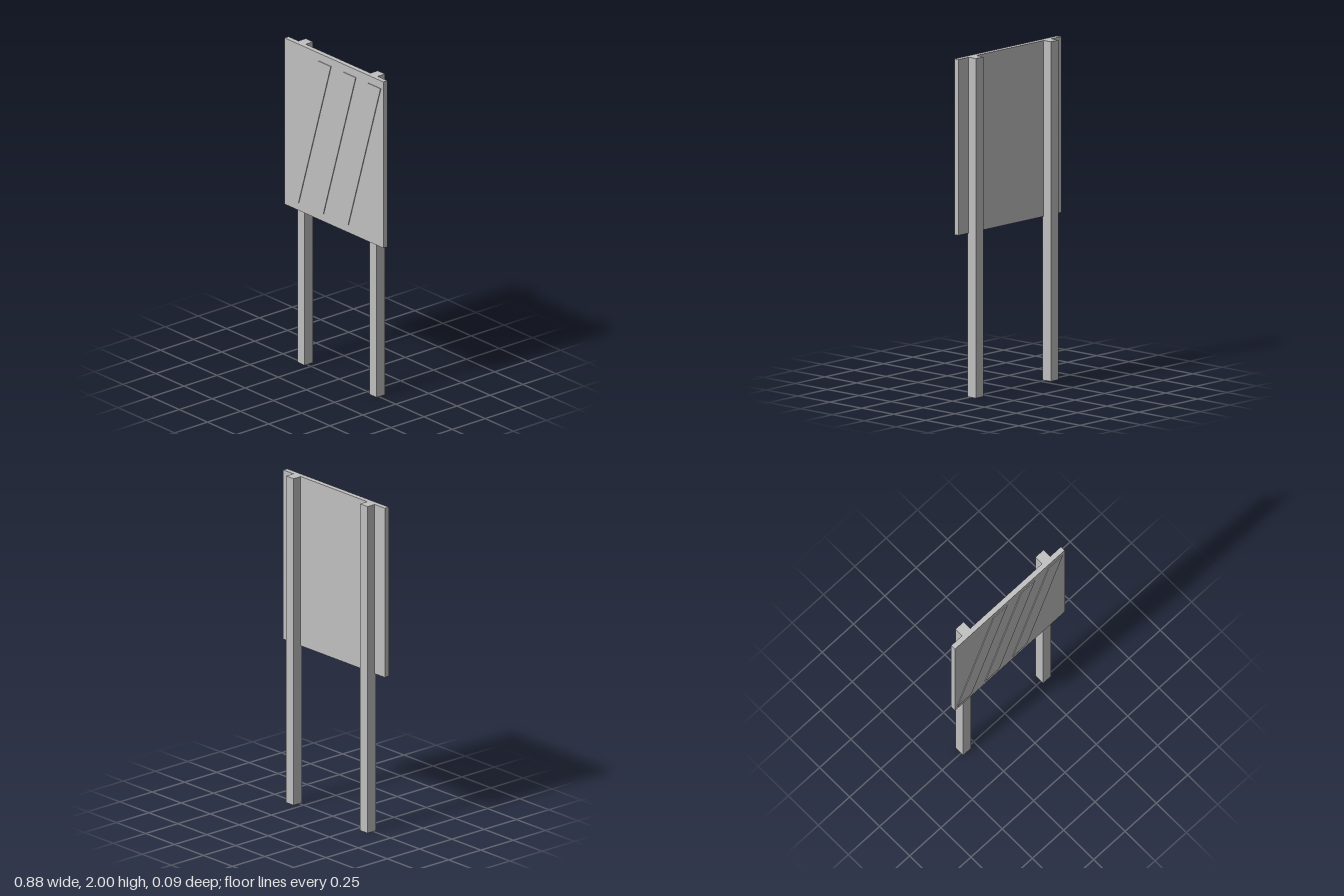
import * as THREE from 'three';

export function createModel() {
  const model = new THREE.Group();
  model.name = 'roadsideMarkerSign';
  const grey = new THREE.MeshStandardMaterial({ color: 0xc0c0c0 });
  grey.name = 'light grey';

  const add = (name, geometry, x, y, z) => {
    const mesh = new THREE.Mesh(geometry, grey);
    mesh.name = name;
    mesh.position.set(x, y, z);
    model.add(mesh);
  };

  // Square posts, let slightly into the back of the panel
  for (const [name, side] of [['leftPost', 1], ['rightPost', -1]]) {
    add(name, new THREE.BoxGeometry(0.064, 2, 0.064), side * 0.319, 1, -0.0135);
  }

  // Sign panel
  add('panel', new THREE.BoxGeometry(0.876, 1.036, 0.031), 0, 1.482, 0.0255);

  // Raised slanted stripes on the front
  const stripe = new THREE.Shape([
    new THREE.Vector2(0, 0),
    new THREE.Vector2(0.11, 0),
    new THREE.Vector2(0.397, 0.94),
    new THREE.Vector2(0.287, 0.94),
  ]);
  const stripeGeometry = new THREE.ExtrudeGeometry(stripe, { depth: 0.0045, bevelEnabled: false });
  for (let i = 0; i < 3; i++) {
    add('stripe' + (i + 1), stripeGeometry, -0.42 + i * 0.22, 1.012, 0.041);
  }
  return model;
}
